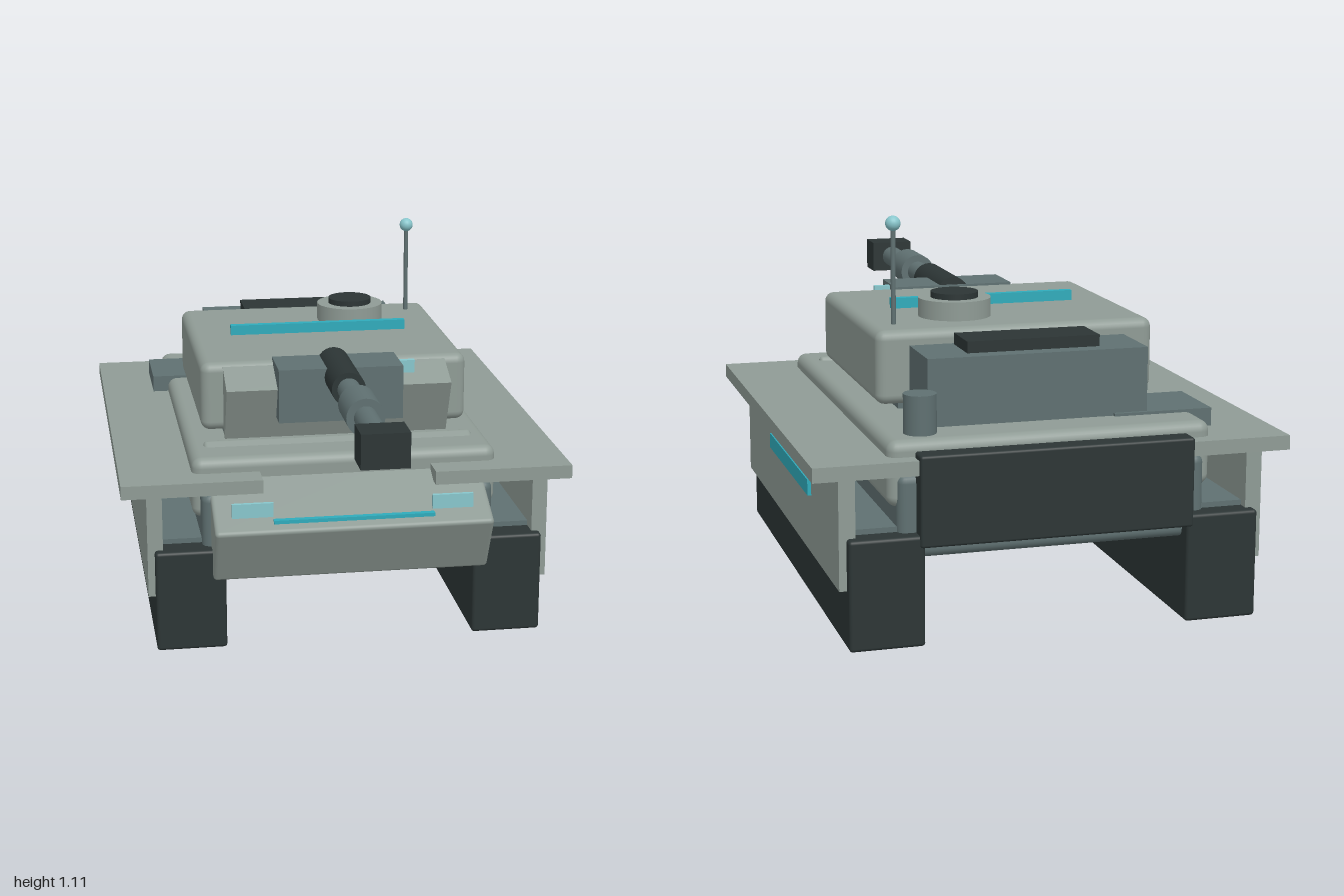
import * as THREE from 'three';
import { RoundedBoxGeometry } from 'three/addons/geometries/RoundedBoxGeometry.js';

const material = (name, color) => {
  const m = new THREE.MeshStandardMaterial({ color });
  m.name = name;
  return m;
};

export function createModel() {
  const model = new THREE.Group();
  model.name = 'tank';
  const armour = material('armour grey', 0x8f9b95);
  const steel = material('blue steel', 0x5f7071);
  const dark = material('dark rubber', 0x2c3535);
  const glow = material('cyan glow', 0x2fabbb);
  const lens = material('pale lens', 0x88c6cc);

  const add = (name, geometry, mat, x, y, z) => {
    const mesh = new THREE.Mesh(geometry, mat);
    mesh.name = name;
    mesh.position.set(x, y, z);
    model.add(mesh);
    return mesh;
  };
  // Boxes are given by their limits on each axis; r rounds the edges
  const box = (name, mat, [x0, x1], [y0, y1], [z0, z1], r = 0) => {
    const size = [x1 - x0, y1 - y0, z1 - z0];
    const g = r ? new RoundedBoxGeometry(...size, 3, r) : new THREE.BoxGeometry(...size);
    return add(name, g, mat, (x0 + x1) / 2, (y0 + y1) / 2, (z0 + z1) / 2);
  };
  // Upright cylinder standing between two heights
  const post = (name, mat, r, x, z, y0, y1) =>
    add(name, new THREE.CylinderGeometry(r, r, y1 - y0, 32), mat, x, (y0 + y1) / 2, z);
  // Cylinder along the gun axis
  const gunY = 0.775;
  const tube = (name, mat, r, z0, z1) => {
    const g = new THREE.CylinderGeometry(r, r, z1 - z0, 28).rotateX(Math.PI / 2);
    return add(name, g, mat, 0, gunY, (z0 + z1) / 2);
  };

  // Hull
  box('lowerHull', steel, [-0.44, 0.44], [0.235, 0.47], [-0.95, 0.4], 0.025);
  box('upperHull', armour, [-0.463, 0.463], [0.375, 0.56], [-0.935, 0.335], 0.03);
  const glacis = add('frontArmour', new RoundedBoxGeometry(0.83, 0.2, 0.4, 3, 0.012),
    armour, 0, 0.396, 0.317);
  glacis.rotation.x = 0.47;
  box('rearPlate', dark, [-0.39, 0.39], [0.278, 0.532], [-1, -0.935], 0.008);

  // Running gear, fenders and skirts on both sides
  for (const [side, s] of [['left', 1], ['right', -1]]) {
    const span = (a, b) => (s > 0 ? [a, b] : [-b, -a]);
    box(side + 'Track', dark, span(0.375, 0.585), [0, 0.31], [-0.99, 0.44], 0.01);
    box(side + 'TrackCover', steel, span(0.4, 0.575), [0.27, 0.325], [-0.93, 0.36]);
    box(side + 'Skirt', armour, span(0.56, 0.606), [0.165, 0.48], [-0.96, 0.412]);
    box(side + 'Fender', armour, span(0.26, 0.68), [0.475, 0.516], [-0.983, 0.42]);
    box(side + 'SkirtLight', glow, span(0.6, 0.617), [0.337, 0.383], [-0.6, -0.02]);
    box(side + 'Headlight', lens, span(0.238, 0.361), [0.423, 0.466], [0.473, 0.485]);
  }
  box('frontLightStrip', glow, [-0.24, 0.24], [0.404, 0.42], [0.493, 0.512]);

  // Turret with a sloped face plate
  box('turret', armour, [-0.413, 0.413], [0.582, 0.795], [-0.6, 0.12], 0.028);
  box('turretRing', steel, [-0.34, 0.34], [0.55, 0.6], [-0.55, 0.07]);
  const face = add('turretFace', new THREE.BoxGeometry(0.69, 0.186, 0.12), armour, 0, 0.674, 0.132);
  face.rotation.x = 0.415;
  box('mantlet', steel, [-0.19, 0.19], [0.637, 0.802], [0.085, 0.25]);
  box('sensor', lens, [0.19, 0.24], [0.755, 0.797], [0.155, 0.172]);
  box('turretLightBar', glow, [-0.283, 0.283], [0.79, 0.826], [-0.246, -0.224]);

  // Gun
  tube('barrel', steel, 0.034, 0.2, 0.92);
  tube('barrelRoot', dark, 0.051, 0.09, 0.39);
  tube('barrelSleeve', steel, 0.056, 0.538, 0.685);
  box('muzzleBrake', dark, [-0.068, 0.068], [gunY - 0.05, gunY + 0.05], [0.9, 1]);

  // Hatch and antenna
  post('hatchRing', armour, 0.107, 0.13, -0.395, 0.785, 0.85);
  post('hatchLid', dark, 0.07, 0.13, -0.395, 0.85, 0.867);
  post('antenna', steel, 0.007, 0.337, -0.49, 0.79, 1.08);
  add('antennaTip', new THREE.SphereGeometry(0.022, 20, 14), lens, 0.337, 1.085, -0.49);

  // Rear equipment
  box('engineBox', steel, [-0.322, 0.318], [0.55, 0.752], [-0.8, -0.57]);
  box('engineVent', dark, [-0.195, 0.192], [0.75, 0.785], [-0.752, -0.615]);
  box('stowageBox', steel, [-0.513, -0.222], [0.513, 0.568], [-0.812, -0.585]);
  post('canister', steel, 0.046, 0.353, -0.848, 0.55, 0.67);

  return model;
}
